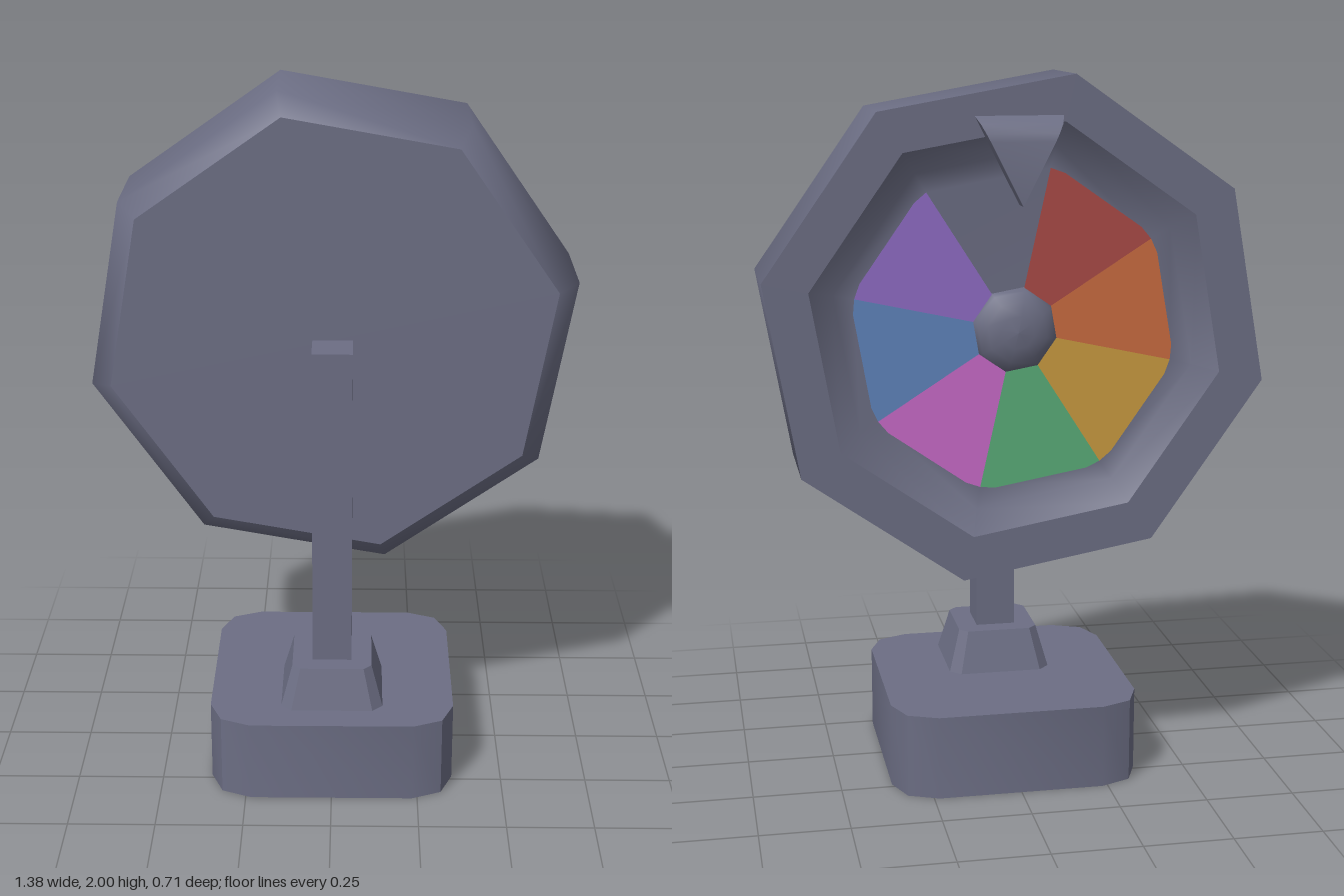
import * as THREE from 'three';
import { toCreasedNormals } from 'three/addons/utils/BufferGeometryUtils.js';

const RAD = Math.PI / 180;
const TILT = 12.5; // roll of the octagonal wheel, degrees
const HUB_Y = 1.307;

function paint(name, color) {
  const m = new THREE.MeshStandardMaterial({ color });
  m.name = name;
  return m;
}

// Square block with cut corners (n steps each), standing on y = 0
function cutBlock(half, r, height, n, topScale = 1) {
  const pts = [];
  for (let q = 0; q < 4; q++) {
    const mid = (45 + q * 90) * RAD;
    const cx = Math.sign(Math.cos(mid)) * (half - r);
    const cy = Math.sign(Math.sin(mid)) * (half - r);
    for (let i = 0; i <= n; i++) {
      const a = (q * 90 + (i / n) * 90) * RAD;
      pts.push(new THREE.Vector2(cx + r * Math.cos(a), cy + r * Math.sin(a)));
    }
  }
  const g = new THREE.ExtrudeGeometry(new THREE.Shape(pts), { depth: height, bevelEnabled: false });
  g.rotateX(-Math.PI / 2);
  const p = g.attributes.position;
  for (let i = 0; i < p.count; i++) {
    if (p.getY(i) > height / 2) p.setXYZ(i, p.getX(i) * topScale, p.getY(i), p.getZ(i) * topScale);
  }
  return toCreasedNormals(g, 0.6);
}

// Octagonal ring surface about the z axis from [radius, z] points
function octagon(profile) {
  const pts = profile.map(([r, z]) => new THREE.Vector2(r, z));
  return new THREE.LatheGeometry(pts, 8, TILT * RAD).rotateX(Math.PI / 2);
}

// Wedge pointing down, with a rounded-off top edge
function pointerGeometry() {
  const tip = 1.655, top = 1.89, halfWidth = 0.12;
  const rows = [[-0.295, top], [-0.335, 1.87], [-0.35, 1.845], [-0.355, 1.825]];
  const x = (y) => (halfWidth * (y - tip)) / (top - tip);
  const v = [];
  const tri = (...c) => c.forEach((k) => v.push(...k));
  const zin = rows[0][0], zout = rows[3][0];
  const tipIn = [0, tip, zin], tipOut = [0, tip, zout];
  const L = rows.map(([z, y]) => [x(y), y, z]);
  const R = rows.map(([z, y]) => [-x(y), y, z]);
  for (let i = 0; i < 3; i++) {
    tri(L[i], L[i + 1], R[i + 1], L[i], R[i + 1], R[i]); // rounded top
    tri(tipIn, L[i + 1], L[i]); // sides
    tri(tipIn, R[i], R[i + 1]);
  }
  tri(tipIn, tipOut, L[3]);
  tri(tipIn, R[3], tipOut);
  tri(tipOut, R[3], L[3]); // outer face
  tri(tipIn, L[0], R[0]); // inner face
  const g = new THREE.BufferGeometry();
  g.setAttribute('position', new THREE.Float32BufferAttribute(v, 3));
  return toCreasedNormals(g, 0.8);
}

export function createModel() {
  const model = new THREE.Group();
  model.name = 'prizeWheel';
  const grey = paint('slateGrey', 0x6c6e84);

  const add = (parent, name, geometry, material = grey) => {
    const mesh = new THREE.Mesh(geometry, material);
    mesh.name = name;
    parent.add(mesh);
    return mesh;
  };

  // Stand
  add(model, 'base', cutBlock(0.355, 0.12, 0.24, 2));
  add(model, 'socket', cutBlock(0.148, 0.03, 0.12, 1, 0.78)).position.set(0, 0.24, 0.12);
  add(model, 'pole', new THREE.BoxGeometry(0.114, 0.947, 0.12)).position.set(0, 0.8335, 0.12);

  // Wheel casing
  const wheel = new THREE.Group();
  wheel.name = 'wheel';
  wheel.position.y = HUB_Y;
  model.add(wheel);
  add(wheel, 'casing', octagon([[0.707, -0.295], [0.707, 0], [0.645, 0.06]]));
  add(wheel, 'frontPanel', octagon([[0.645, 0.06], [0, 0.06]]));
  add(wheel, 'rim', octagon([[0.58, -0.295], [0.707, -0.295]]));
  add(wheel, 'recess', octagon([[0, -0.235], [0.45, -0.235], [0.51, -0.25], [0.58, -0.295]]));

  // Coloured wedges; the eighth stays bare
  const colours = [
    ['red', 0xaa4a47], ['orange', 0xc96c40], ['gold', 0xc99b40], ['green', 0x5aad78],
    ['magenta', 0xc86ac8], ['blue', 0x5f84bc], ['purple', 0x8f6cc5],
  ];
  colours.forEach(([name, hex], i) => {
    const end = 90 + TILT + 45 * (i + 1);
    const wedge = new THREE.CircleGeometry(0.45, 1, (180 - end) * RAD, 45 * RAD).rotateY(Math.PI);
    add(wheel, name + 'Wedge', wedge, paint(name, hex)).position.z = -0.238;
  });

  // Domed hub
  const dome = [];
  for (let i = 0; i <= 4; i++) {
    const a = (i / 4) * (Math.PI / 2);
    dome.push([0.12 * Math.sin(a), -0.235 - 0.057 * Math.cos(a)]);
  }
  add(wheel, 'hub', octagon(dome));

  add(model, 'pointer', pointerGeometry());
  return model;
}
